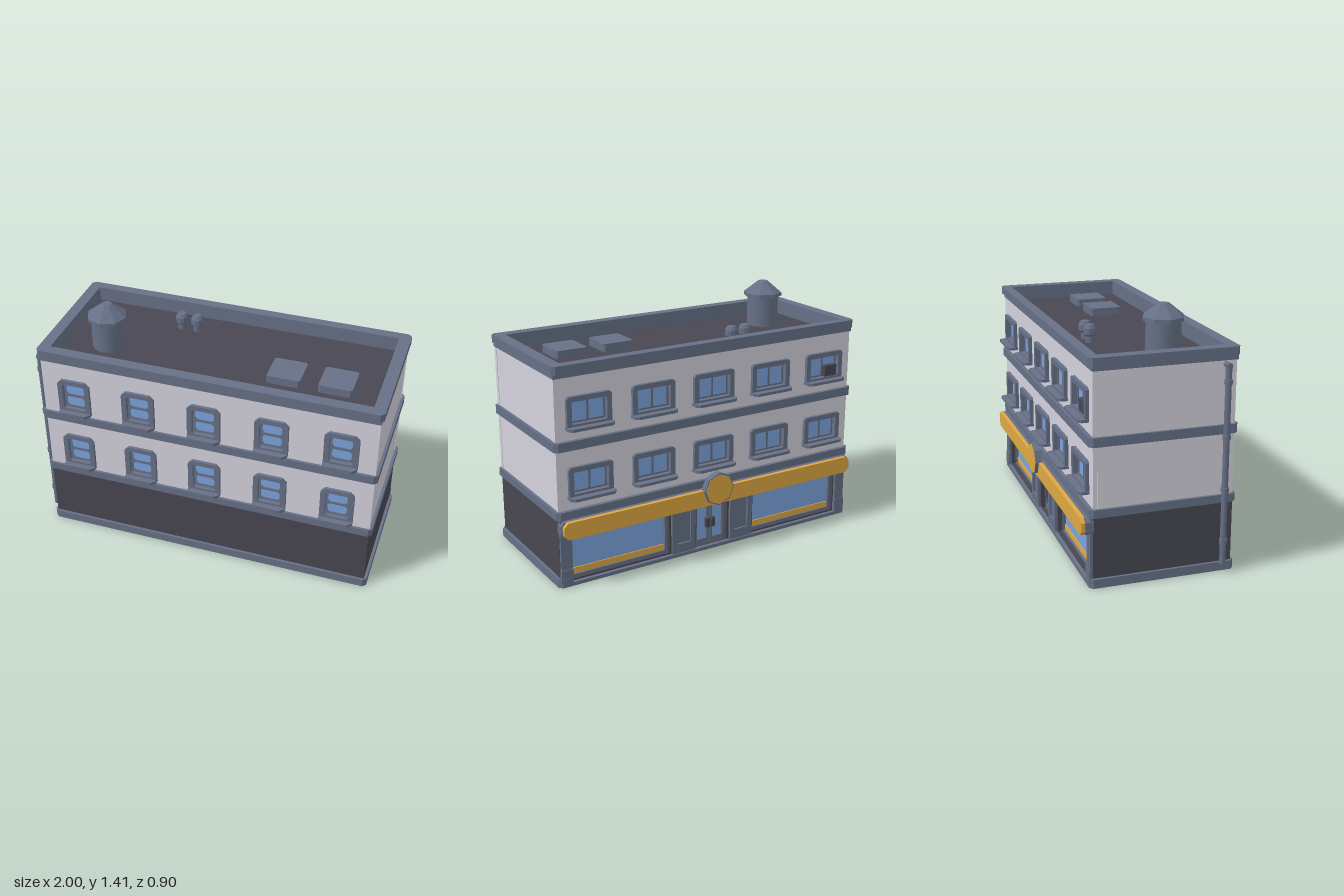
import * as THREE from 'three';

const material = (name, color) => {
  const m = new THREE.MeshStandardMaterial({ color });
  m.name = name;
  return m;
};

// Rectangle with cut corners; top and bottom cuts may differ
function cutRect(x0, y0, x1, y1, top = 0, bottom = top, Type = THREE.Shape) {
  const pts = [];
  const corner = (x, y, sx, sy, c, flip) => {
    if (!c) return pts.push(new THREE.Vector2(x, y));
    const a = new THREE.Vector2(x + sx * c, y), b = new THREE.Vector2(x, y + sy * c);
    pts.push(...(flip ? [a, b] : [b, a]));
  };
  corner(x0, y0, 1, 1, bottom, false);
  corner(x1, y0, -1, 1, bottom, true);
  corner(x1, y1, -1, -1, top, false);
  corner(x0, y1, 1, -1, top, true);
  return new Type(pts);
}
const hole = (x0, y0, x1, y1, c = 0) => cutRect(x0, y0, x1, y1, c, c, THREE.Path);

export function createModel() {
  const trim = material('slate trim', 0x667086);
  const wall = material('pale wall', 0xd3d2dc);
  const dark = material('dark wall', 0x484752);
  const glass = material('blue glass', 0x7ba3de);
  const gold = material('gold paint', 0xdfa743);

  const model = new THREE.Group();
  model.name = 'building';
  const CX = 0.02;
  const DECK = 1.145;

  const add = (parent, name, geo, mat, x = 0, y = 0, z = 0) => {
    const m = new THREE.Mesh(geo, mat);
    m.name = name;
    m.position.set(x, y, z);
    parent.add(m);
    return m;
  };
  const box = (parent, name, mat, x0, x1, y0, y1, z0, z1) =>
    add(parent, name, new THREE.BoxGeometry(x1 - x0, y1 - y0, z1 - z0), mat,
      (x0 + x1) / 2, (y0 + y1) / 2, (z0 + z1) / 2);
  // Upright plate from z0 to z1
  const plate = (parent, name, mat, shape, z0, z1, holes = []) => {
    shape.holes.push(...holes);
    const geo = new THREE.ExtrudeGeometry(shape, { depth: z1 - z0, bevelEnabled: false });
    return add(parent, name, geo, mat, 0, 0, z0);
  };
  // Flat slab from y0 to y1, drawn in plan with shape y = -z
  const slab = (parent, name, mat, shape, y0, y1, holes = []) => {
    const m = plate(parent, name, mat, shape, 0, y1 - y0, holes);
    m.geometry.rotateX(-Math.PI / 2);
    m.position.y = y0;
    return m;
  };
  const group = (parent, name, x = 0, y = 0, z = 0) => {
    const g = new THREE.Group();
    g.name = name;
    g.position.set(x, y, z);
    parent.add(g);
    return g;
  };

  // Main storeys
  box(model, 'groundStorey', dark, -0.945, 0.98, 0.01, 0.41, -0.32, 0.398);
  box(model, 'upperStoreys', wall, -0.945, 0.98, 0.41, 1.13, -0.345, 0.373);
  box(model, 'roofDeck', dark, -0.92, 0.955, 1.125, DECK, -0.34, 0.37);

  // Parapet and string courses
  const bandShape = () => cutRect(-0.96, -0.413, 0.997, 0.392, 0.02);
  const roofHole = () => hole(-0.895, -0.35, 0.93, 0.335);
  slab(model, 'parapetWall', wall, cutRect(-0.945, -0.38, 0.98, 0.35), 1.12, 1.165, [hole(-0.92, -0.37, 0.955, 0.34)]);
  slab(model, 'parapetLining', trim, cutRect(-0.925, -0.373, 0.96, 0.345), 1.13, 1.186, [roofHole()]);
  slab(model, 'corniceFillet', trim, cutRect(-0.95, -0.403, 0.985, 0.375), 1.16, 1.186, [hole(-0.92, -0.37, 0.955, 0.34)]);
  slab(model, 'parapetCap', trim, bandShape(), 1.185, 1.23, [roofHole()]);
  slab(model, 'upperBand', trim, bandShape(), 0.77, 0.82);
  slab(model, 'lowerBand', trim, bandShape(), 0.39, 0.435);
  slab(model, 'foundation', trim, bandShape(), 0, 0.02);
  const U = [[-0.96, -0.393], [-0.94, -0.413], [0.977, -0.413], [0.997, -0.393], [0.997, 0.372],
    [0.977, 0.392], [0.92, 0.392], [0.92, 0.31], [-0.88, 0.31], [-0.88, 0.392], [-0.94, 0.392], [-0.96, 0.372]];
  slab(model, 'baseBand', trim, new THREE.Shape(U.map(p => new THREE.Vector2(...p))), 0.015, 0.05);

  const columnsX = [-0.77, -0.385, 0, 0.385, 0.77];
  // Outer wall skin with an opening for each window
  const facadeSkin = (parent, rows, hw, h0, h1) =>
    plate(parent, 'facadeSkin', wall, cutRect(-0.9625, 0.41, 0.9625, 1.165), -0.027, 0,
      rows.flatMap(y => columnsX.map(x => hole(x - hw, y + h0, x + hw, y + h1))));

  // Sash windows on the front face
  const front = group(model, 'frontFacade', CX, 0, 0.398);
  const frontRows = [0.455, 0.84];
  facadeSkin(front, frontRows, 0.07, 0.026, 0.196);
  for (const y of frontRows) for (const x of columnsX) {
    const w = group(front, 'sashWindow', x, y);
    plate(w, 'windowFrame', trim, cutRect(-0.095, 0, 0.095, 0.219, 0.025, 0), 0, 0.018,
      [hole(-0.066, 0.03, 0.066, 0.192, 0.008)]);
    plate(w, 'windowReveal', trim, cutRect(-0.07, 0.026, 0.07, 0.196), -0.025, 0.004,
      [hole(-0.066, 0.03, 0.066, 0.192, 0.008)]);
    plate(w, 'sash', trim, cutRect(-0.068, 0.028, 0.068, 0.194), -0.018, -0.006,
      [hole(-0.055, 0.042, 0.055, 0.101, 0.012), hole(-0.055, 0.116, 0.055, 0.177, 0.012)]);
    box(w, 'windowGlass', glass, -0.06, 0.06, 0.035, 0.185, -0.022, -0.012);
    slab(w, 'windowSill', trim, cutRect(-0.095, -0.052, 0.095, 0, 0, 0.025), 0, 0.017);
  }

  // Back face, built facing +z and turned around
  const back = group(model, 'backFacade', CX);
  back.rotation.y = Math.PI;
  const backUpper = group(back, 'backUpperFacade', 0, 0, 0.37);
  const backRows = [0.495, 0.88];
  facadeSkin(backUpper, backRows, 0.106, 0.024, 0.154);
  for (const y of backRows) for (const x of columnsX) {
    const w = group(backUpper, 'wideWindow', x, y);
    plate(w, 'windowFrame', trim, cutRect(-0.13, 0, 0.13, 0.178, 0.012, 0), 0, 0.02,
      [hole(-0.102, 0.028, 0.102, 0.15)]);
    plate(w, 'windowReveal', trim, cutRect(-0.106, 0.024, 0.106, 0.154), -0.025, 0.004,
      [hole(-0.102, 0.028, 0.102, 0.15)]);
    plate(w, 'casement', trim, cutRect(-0.104, 0.026, 0.104, 0.152), -0.018, -0.008,
      [hole(-0.092, 0.038, -0.006, 0.14), hole(0.006, 0.038, 0.092, 0.14)]);
    box(w, 'windowGlass', glass, -0.095, 0.095, 0.035, 0.143, -0.022, -0.014);
    slab(w, 'windowSill', trim, cutRect(-0.135, -0.06, 0.135, 0, 0, 0.02), 0, 0.016);
    if (x === 0.77 && y > 0.6)
      box(w, 'airConditioner', dark, 0.005, 0.09, 0.03, 0.095, -0.02, 0.018);
  }

  // Shopfront wall with openings
  plate(back, 'shopWall', dark, cutRect(-0.9625, 0.005, 0.9625, 0.41), 0.315, 0.37,
    [hole(-0.89, 0.03, -0.285, 0.3), hole(0.285, 0.03, 0.89, 0.3), hole(-0.105, 0.021, 0.105, 0.3)]);
  for (const s of [-1, 1]) {
    const bay = group(back, 'shopWindow', s * 0.5875);
    plate(bay, 'shopWindowFrame', trim, cutRect(-0.3025, 0.025, 0.3025, 0.3), 0.32, 0.345,
      [hole(-0.288, 0.04, 0.288, 0.285)]);
    box(bay, 'shopGlass', glass, -0.295, 0.295, 0.035, 0.29, 0.32, 0.328);
    box(bay, 'goldStripe', gold, -0.288, 0.288, 0.04, 0.073, 0.326, 0.334);
    // End pier
    box(back, 'endPier', trim, s * 0.929 - 0.032, s * 0.929 + 0.032, 0.02, 0.4, 0.369, 0.386);
    box(back, 'endPierFoot', trim, s * 0.929 - 0.035, s * 0.929 + 0.035, 0.02, 0.1, 0.372, 0.391);
    // Panelled pier beside the door
    const pier = group(back, 'doorPier', s * 0.195);
    plate(pier, 'pierFrame', trim, cutRect(-0.077, 0.01, 0.077, 0.31), 0.365, 0.385,
      [hole(-0.045, 0.075, 0.045, 0.28)]);
    box(pier, 'pierPanel', trim, -0.05, 0.05, 0.07, 0.285, 0.365, 0.373);
    // Door leaf
    const leaf = group(back, 'doorLeaf', s * 0.052);
    plate(leaf, 'doorFrame', trim, cutRect(-0.05, 0.02, 0.05, 0.3), 0.32, 0.345,
      [hole(-0.033, 0.05, 0.033, 0.275)]);
    box(leaf, 'doorGlass', glass, -0.04, 0.04, 0.045, 0.28, 0.32, 0.332);
    box(leaf, 'doorHandle', dark, -s * 0.034 - 0.012, -s * 0.034 + 0.012, 0.12, 0.175, 0.34, 0.362);
  }

  // Fascia sign with blank octagonal badge
  plate(back, 'fasciaBacking', trim, cutRect(-0.966, 0.293, 0.966, 0.386, 0.02), 0.365, 0.41);
  plate(back, 'fasciaFace', gold, cutRect(-0.958, 0.29, 0.958, 0.387, 0.025), 0.408, 0.431);
  const disc = (r, d) => new THREE.CylinderGeometry(r, r, d, 8).rotateX(Math.PI / 2).toNonIndexed();
  const flat = g => { g.computeVertexNormals(); return g; };
  add(back, 'badgeBody', flat(disc(0.097, 0.04)), trim, 0, 0.385, 0.429);
  add(back, 'badgeFace', flat(disc(0.09, 0.006)), gold, 0, 0.385, 0.448);

  // Roof water tank
  const flatLathe = (pts, n) =>
    flat(new THREE.LatheGeometry(pts.map(p => new THREE.Vector2(...p)), n).toNonIndexed());
  const tank = group(model, 'waterTank', -0.65, DECK - 0.005, 0.107);
  add(tank, 'tankBody', new THREE.CylinderGeometry(0.094, 0.094, 0.2, 16), trim, 0, 0.1, 0);
  add(tank, 'tankRoof', flatLathe([[0, 0.184], [0.115, 0.184], [0.115, 0.203], [0.03, 0.271], [0, 0.271]], 8), trim);

  // Roof vents
  for (const x of [-0.313, -0.22])
    add(model, 'roofVent', flatLathe([[0.024, 0], [0.024, 0.04], [0.036, 0.052], [0.036, 0.085],
      [0.024, 0.105], [0, 0.105]], 10), trim, x, DECK - 0.005, -0.19);

  // Roof hatches
  for (const x of [0.402, 0.69]) {
    const hatch = group(model, 'roofHatch', x, DECK - 0.005, 0.103);
    slab(hatch, 'hatchLid', trim, cutRect(-0.094, -0.094, 0.094, 0.094, 0.01), 0, 0.05);
  }

  // Drainpipe
  const pipe = group(model, 'drainpipe', -0.978, 0, 0.338);
  add(pipe, 'downpipe', new THREE.CylinderGeometry(0.017, 0.017, 1.1, 10), trim, 0, 0.6, 0);
  add(pipe, 'pipeElbow', new THREE.CylinderGeometry(0.016, 0.016, 0.06, 10).rotateZ(Math.PI / 2), trim, 0.014, 1.139, 0);
  for (const y of [0.18, 0.47, 0.76, 1.055])
    add(pipe, 'pipeCollar', new THREE.CylinderGeometry(0.022, 0.022, 0.025, 10), trim, 0, y, 0);
  return model;
}
